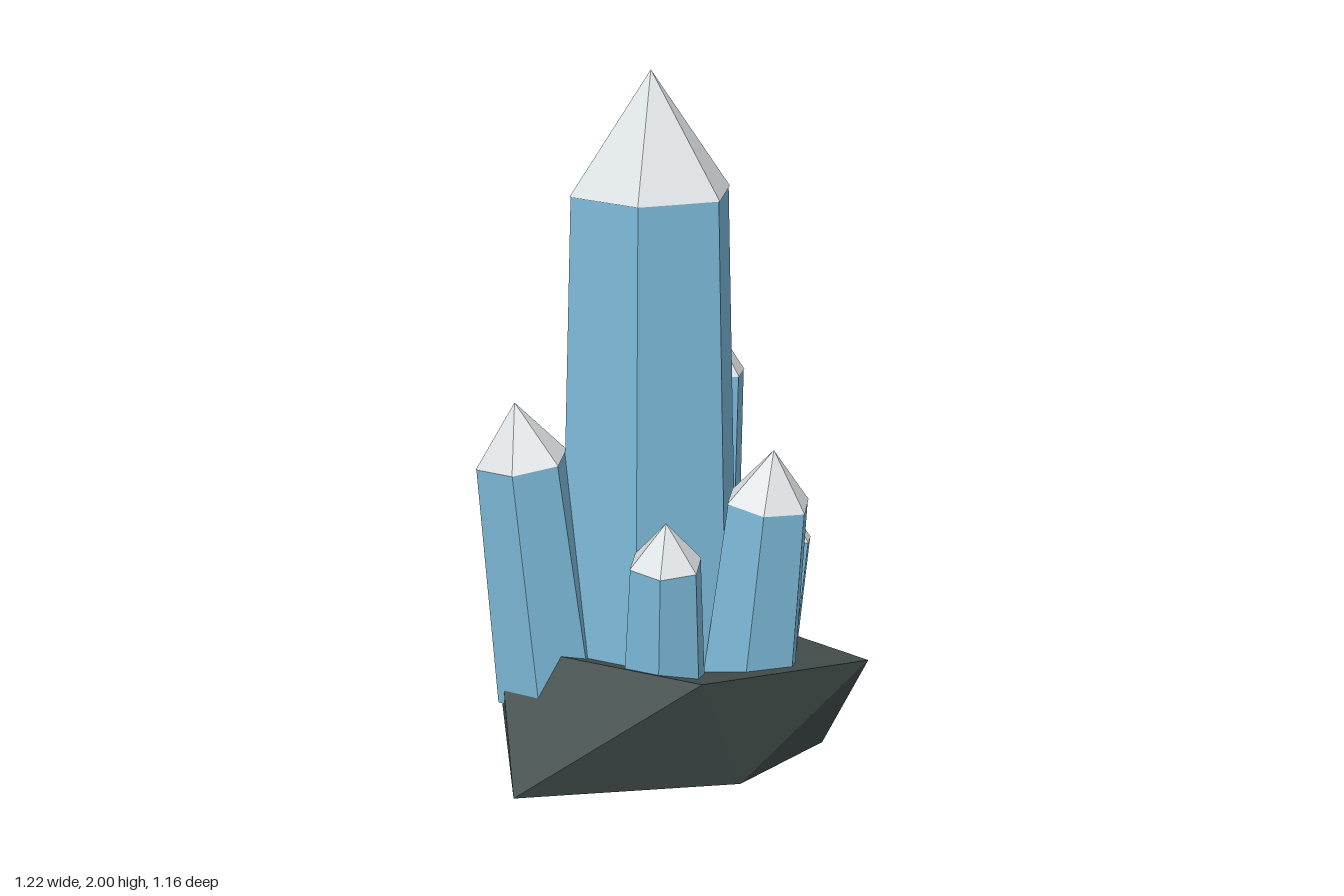
import * as THREE from 'three';

const mat = (name, color, flatShading = true) => {
  const m = new THREE.MeshStandardMaterial({ color, flatShading });
  m.name = name;
  return m;
};

// Faceted rock: a distorted twenty-sided solid
function rockGeometry() {
  const p = {
    A: [-0.61, 0.04, -0.10], B: [-0.41, 0.44, 0.40], C: [0.12, 0.385, 0.58],
    D: [0.61, 0.165, 0.01], E: [0.48, 0.03, -0.425], F: [0, 0.19, -0.585],
    H: [0.30, 0, 0.31], I: [-0.22, 0.08, 0.39], W: [-0.41, 0.38, -0.32],
    X: [-0.16, 0.235, -0.565],
    T: [0.10, 0.23, -0.05], K: [-0.08, 0.01, -0.10], // top and bottom centres
  };
  const faces = 'TBC TCD TDF TFW TWB KEX KXA KAI KIH KHE ABI BCI CHI CDH DEH DEF EFX FXW XWA WAB';
  const centre = new THREE.Vector3(0, 0.15, 0);
  const positions = [];
  for (const face of faces.split(' ')) {
    const v = [...face].map((k) => new THREE.Vector3(...p[k]));
    const n = v[1].clone().sub(v[0]).cross(v[2].clone().sub(v[0]));
    const mid = v[0].clone().add(v[1]).add(v[2]).divideScalar(3).sub(centre);
    if (n.dot(mid) < 0) v.reverse(); // turn every face outward
    v.forEach((q) => positions.push(q.x, q.y, q.z));
  }
  const g = new THREE.BufferGeometry();
  g.setAttribute('position', new THREE.Float32BufferAttribute(positions, 3));
  g.computeVertexNormals();
  return g;
}

// Six-sided crystal: tapered shaft plus pointed tip, leaning from base to apex
function crystal(name, base, apex, ringY, baseR, ringR, shaftMat, tipMat) {
  const b = new THREE.Vector3(...base);
  const axis = new THREE.Vector3(...apex).sub(b);
  const length = axis.length();
  const shaftH = length * (ringY - base[1]) / (apex[1] - base[1]);
  const tipH = length - shaftH;

  const group = new THREE.Group();
  group.name = name;
  const shaft = new THREE.Mesh(
    new THREE.CylinderGeometry(ringR, baseR, shaftH, 6).translate(0, shaftH / 2, 0), shaftMat);
  shaft.name = name + 'Shaft';
  const tip = new THREE.Mesh(
    new THREE.ConeGeometry(ringR * 1.015, tipH, 6).translate(0, shaftH + tipH / 2, 0), tipMat);
  tip.name = name + 'Tip';
  group.add(shaft, tip);
  group.position.copy(b);
  group.quaternion.setFromUnitVectors(new THREE.Vector3(0, 1, 0), axis.normalize());
  return group;
}

export function createModel() {
  const model = new THREE.Group();
  model.name = 'crystalCluster';
  const rockMat = mat('darkRock', 0x465250);
  const blue = mat('crystalBlue', 0x7ebbdb);
  const pale = mat('paleTip', 0xdde2e4);

  const rock = new THREE.Mesh(rockGeometry(), rockMat);
  rock.name = 'rockBase';
  model.add(rock);

  // name, base centre, apex, shoulder height, base radius, shoulder radius
  const crystals = [
    ['mainCrystal', [-0.09, 0.24, -0.03], [-0.09, 2.0, -0.02], 1.67, 0.275, 0.231],
    ['tallLeftCrystal', [0.20, 0.26, -0.13], [0.305, 1.26, -0.143], 1.07, 0.175, 0.145],
    ['backRightCrystal', [-0.335, 0.25, -0.20], [-0.42, 1.11, -0.237], 0.945, 0.155, 0.131],
    ['frontCrystal', [-0.025, 0.26, 0.27], [-0.015, 0.985, 0.345], 0.835, 0.145, 0.121],
    ['frontRightCrystal', [-0.28, 0.25, 0.17], [-0.325, 0.83, 0.213], 0.71, 0.125, 0.103],
    ['smallLeftCrystal', [0.24, 0.26, 0.14], [0.315, 0.705, 0.167], 0.615, 0.105, 0.087],
  ];
  for (const c of crystals) model.add(crystal(...c, blue, pale));
  return model;
}
